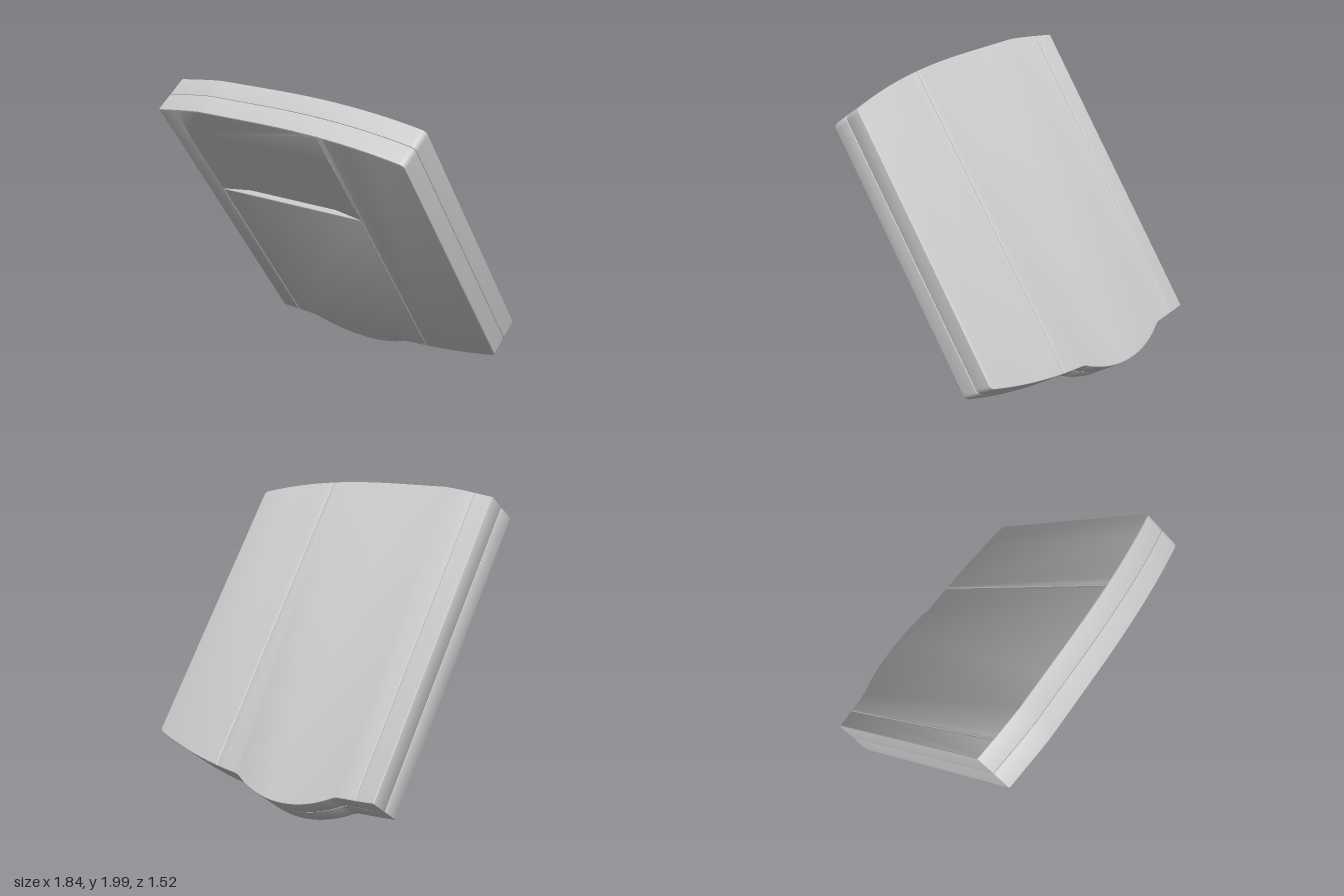
import * as THREE from 'three';
import { toCreasedNormals } from 'three/addons/utils/BufferGeometryUtils.js';

const material = new THREE.MeshStandardMaterial({ color: 0xcccccc });
const HALF = 0.136;   // thickness of one shell half
const BEVEL = 0.008;  // soft edge that forms the seam grooves
const LEDGE = 0.347, LINTEL = 0.868; // lower and upper limits of the recess
const LEFT = -0.925, RIGHT = 0.917, CORNER = 0.03;

// Crowned upper edge of the slab
function topEdge(x) {
  if (x < -0.55) return 1.126 - 0.051 * ((-0.55 - x) / 0.375) ** 1.2;
  if (x > -0.2) return 1.126 - 0.137 * ((x + 0.2) / 1.12) ** 2.5;
  return 1.126;
}

// Gently curved lower edge with a round bulge
function bottomEdge(x) {
  const base = x > -0.2
    ? -1.03 + 0.171 * ((x + 0.2) / 1.12) ** 2.2
    : -1.03 + 0.036 * ((-0.2 - x) / 0.725) ** 1.5;
  const dx = x + 0.245, r = 0.734;
  if (Math.abs(dx) > 0.42) return base;
  return Math.min(base, -1.127 + r - Math.sqrt(r * r - dx * dx));
}

// Outline between two side seams; each seam is [x at bottom, x at top]
function outline(a, b, low, high, rounded = false) {
  const shape = new THREE.Shape();
  const inset = rounded ? CORNER : 0;
  const run = (from, to, edge, count, start) => {
    for (let i = 0; i <= count; i++) {
      const x = from + (to - from) * i / count;
      if (i === 0 && start) shape.moveTo(x, edge(x));
      else shape.lineTo(x, edge(x));
    }
  };
  const steps = (edge) => (edge === topEdge || edge === bottomEdge ? 40 : 1);
  run(a[0], b[0] - inset, low, steps(low), true);
  if (rounded) {
    shape.quadraticCurveTo(b[0], low(b[0]), b[0], low(b[0]) + CORNER);
    shape.lineTo(b[1], high(b[1]) - CORNER);
    shape.quadraticCurveTo(b[1], high(b[1]), b[1] - inset, high(b[1] - inset));
  }
  run(b[1] - inset, a[1], high, steps(high), false);
  shape.closePath();
  return shape;
}

// Soft-edged plate; z0 is its rear face
function plate(name, shape, z0) {
  const geometry = new THREE.ExtrudeGeometry(shape, {
    depth: HALF - 2 * BEVEL, bevelEnabled: true, bevelSize: BEVEL,
    bevelThickness: BEVEL, bevelOffset: -BEVEL, bevelSegments: 2, curveSegments: 6,
  });
  geometry.translate(0, 0, z0 + BEVEL);
  const mesh = new THREE.Mesh(toCreasedNormals(geometry, 0.4), material);
  mesh.name = name;
  return mesh;
}

export function createModel() {
  const model = new THREE.Group();
  model.name = 'tiltedPanel';
  const slab = new THREE.Group();
  slab.name = 'slab';
  model.add(slab);

  const seamA = [-0.79, -0.785], seamB = [0.33, 0.35];

  // Side sections, front and back halves
  for (const [side, z0] of [['Front', 0], ['Back', -HALF]]) {
    slab.add(plate('rightSection' + side,
      outline([LEFT, LEFT], seamA, bottomEdge, topEdge), z0));
    slab.add(plate('leftSection' + side,
      outline(seamB, [RIGHT, RIGHT], bottomEdge, topEdge, true), z0));
  }

  // Middle section: whole back, split front
  slab.add(plate('middleBack', outline(seamA, seamB, bottomEdge, topEdge), -HALF));
  slab.add(plate('lowerFrontPanel',
    outline(seamA, [0.33, 0.342], bottomEdge, () => LEDGE), 0));
  slab.add(plate('upperFrontPanel',
    outline([-0.787, -0.785], [0.347, 0.35], () => LINTEL, topEdge), 0));

  // Shallow recess with ramped sides between the two front panels
  const floor = HALF - 0.035;
  const section = new THREE.Shape([
    [-0.788, 0], [0.345, 0], [0.345, HALF - 0.002], [0.13, floor],
    [-0.57, floor], [-0.788, HALF - 0.002],
  ].map(([x, y]) => new THREE.Vector2(x, y)));
  const recessGeometry = new THREE.ExtrudeGeometry(section, {
    depth: LINTEL - LEDGE, bevelEnabled: false,
  });
  recessGeometry.rotateX(Math.PI / 2);
  recessGeometry.translate(0, LINTEL, 0);
  const recess = new THREE.Mesh(recessGeometry, material);
  recess.name = 'handRecess';
  slab.add(recess);

  // Lean the slab forward
  slab.rotation.x = 0.615;
  slab.position.y = 1;
  return model;
}
